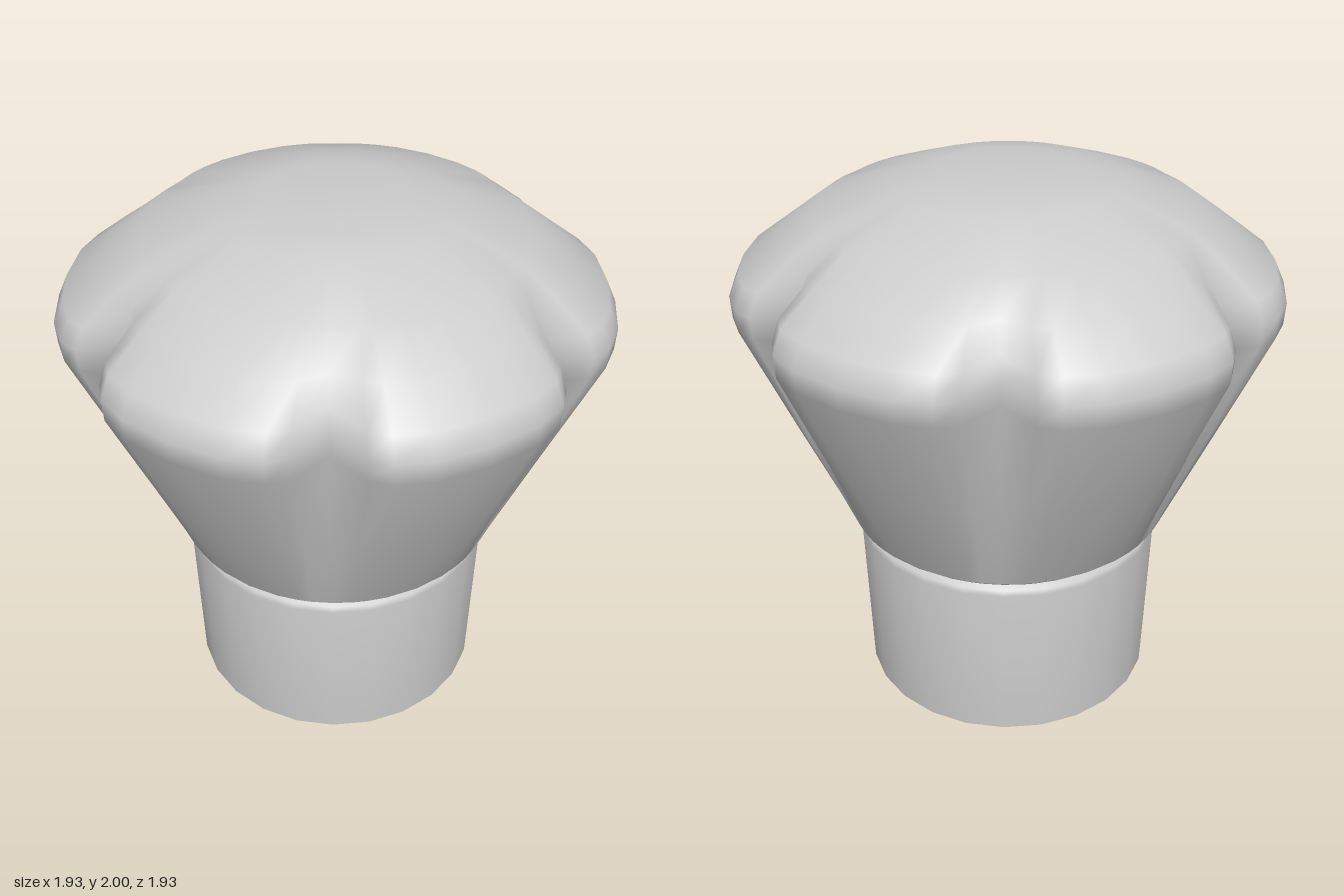
import * as THREE from 'three';
import { toCreasedNormals } from 'three/addons/utils/BufferGeometryUtils.js';

const LOBES = 6;
// one lobe: [degrees from the pleat, share of the pleat depth]
const LOBE = [[0, 1], [7, 0.29], [11.5, 0.08], [19, 0], [30, 0], [41, 0], [48.5, 0.08], [53, 0.29]];
// rings from the band upwards: [height, radius, pleat depth]
const RINGS = [
  [0.66, 0.535, 0], [0.68, 0.565, 0], [0.71, 0.6, 0], [1.1, 0.776, 0.095], [1.52, 0.963, 0.18],
  [1.6, 0.967, 0.18], [1.68, 0.93, 0.16], [1.78, 0.795, 0.085], [1.88, 0.655, 0.015],
  [1.97, 0.4, 0], [1.995, 0.25, 0],
];

// gathered crown, built from rings that pinch in at each pleat
function crownGeometry() {
  const pos = [], index = [], n = LOBES * LOBE.length;
  for (const [y, r, depth] of RINGS) {
    for (let k = 0; k < LOBES; k++) {
      for (const [deg, pinch] of LOBE) {
        const a = THREE.MathUtils.degToRad(-15 + k * 60 + deg);
        const rr = r * (1 - depth * pinch);
        pos.push(rr * Math.cos(a), y, rr * Math.sin(a));
      }
    }
  }
  const top = RINGS.length * n;
  pos.push(0, 2, 0);
  for (let j = 0; j < RINGS.length; j++) {
    for (let i = 0; i < n; i++) {
      const a = j * n + i, b = j * n + (i + 1) % n;
      if (j === RINGS.length - 1) index.push(a, top, b);
      else index.push(a, a + n, b, b, a + n, b + n);
    }
  }
  const g = new THREE.BufferGeometry();
  g.setAttribute('position', new THREE.Float32BufferAttribute(pos, 3));
  g.setIndex(index);
  g.computeVertexNormals();
  return g;
}

export function createModel() {
  const group = new THREE.Group();
  group.name = 'chefHat';
  const material = new THREE.MeshStandardMaterial({ color: 0xcccccc, side: THREE.DoubleSide });

  // hollow head band: inner wall, bottom rim, outer wall, rounded top edge
  const profile = [[0.525, 0.67], [0.525, 0], [0.552, 0], [0.57, 0.63], [0.566, 0.652], [0.535, 0.67]]
    .map(([x, y]) => new THREE.Vector2(x, y));
  const band = new THREE.Mesh(toCreasedNormals(new THREE.LatheGeometry(profile, 24), 1.1), material);
  band.name = 'headBand';

  const crown = new THREE.Mesh(crownGeometry(), material);
  crown.name = 'pleatedCrown';

  group.add(band, crown);
  return group;
}
